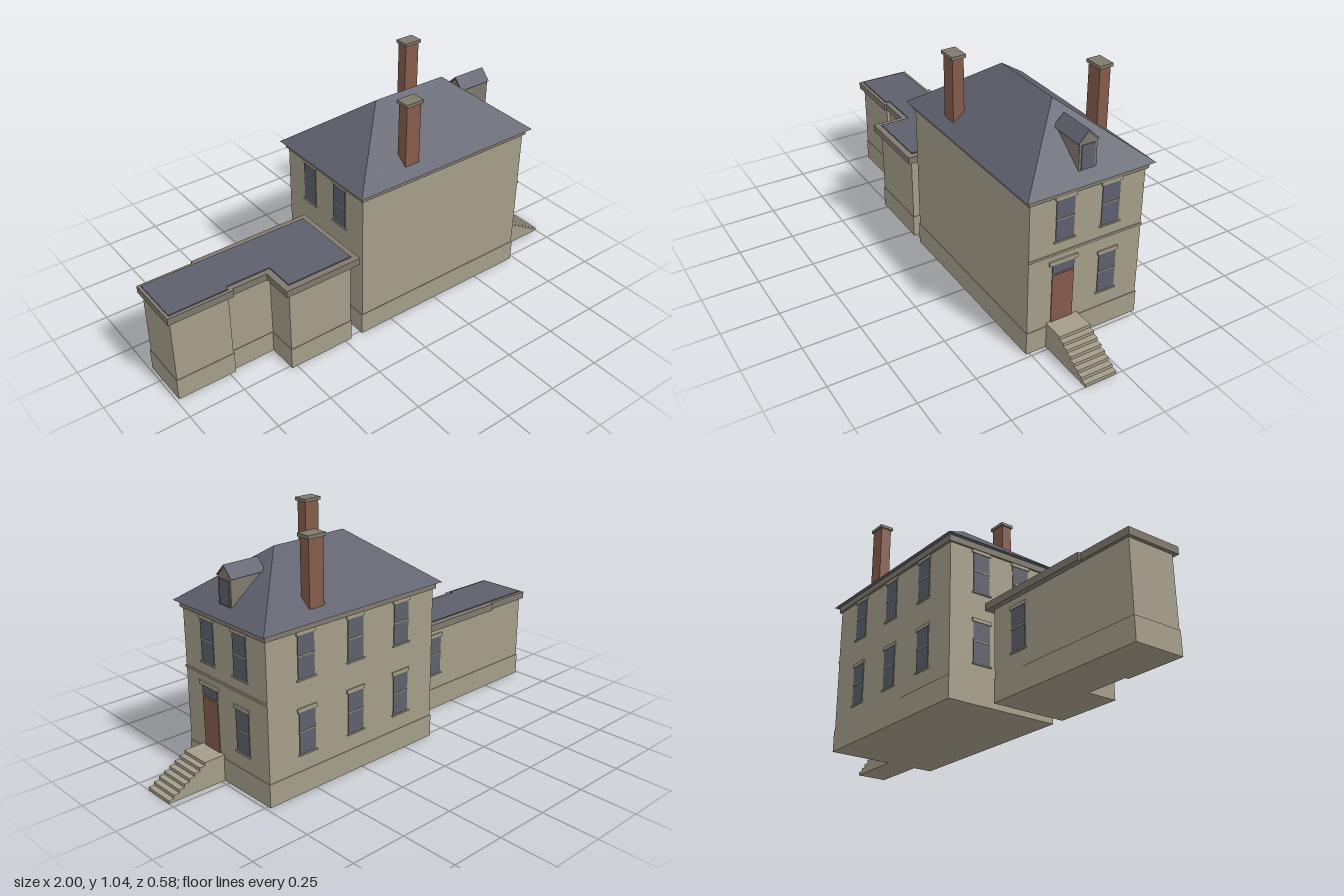
import * as THREE from 'three';

const mat = (name, color) => Object.assign(new THREE.MeshStandardMaterial({ color }), { name });

export function createModel() {
  const model = new THREE.Group();
  model.name = 'house';
  const stone = mat('stone', 0xa49d89);
  const trim = mat('trim', 0x7f786d);
  const slate = mat('slate', 0x5d606c);
  const brick = mat('brick', 0x855b4c);

  const add = (parent, name, geometry, material) => {
    const mesh = new THREE.Mesh(geometry, material);
    mesh.name = name;
    parent.add(mesh);
    return mesh;
  };
  // Box given by its limits on each axis
  const box = (parent, name, material, x0, x1, y0, y1, z0, z1) => {
    const mesh = add(parent, name, new THREE.BoxGeometry(x1 - x0, y1 - y0, z1 - z0), material);
    mesh.position.set((x0 + x1) / 2, (y0 + y1) / 2, (z0 + z1) / 2);
    return mesh;
  };
  const extrude = (points, depth) => new THREE.ExtrudeGeometry(
    new THREE.Shape(points.map(([x, y]) => new THREE.Vector2(x, y))), { depth, bevelEnabled: false });
  // Upright slab from a plan outline of [x, z] points
  const slab = (name, material, plan, y0, y1) => {
    const g = extrude(plan.map(([x, z]) => [x, -z]), y1 - y0).rotateX(-Math.PI / 2);
    add(model, name, g, material).position.y = y0;
  };
  // Group whose local +z points out of a wall
  const facade = (name, x, z, angle) => {
    const group = new THREE.Group();
    group.name = name;
    group.position.set(x, 0, z);
    group.rotation.y = angle;
    model.add(group);
    return group;
  };
  // Sash window with rail, lintel and sill
  const sash = (parent, u, y) => {
    const group = new THREE.Group();
    group.name = 'window';
    group.position.set(u, y, 0);
    parent.add(group);
    box(group, 'glass', slate, -0.041, 0.041, 0, 0.18, -0.002, 0.003);
    box(group, 'meetingRail', stone, -0.041, 0.041, 0.093, 0.098, -0.002, 0.005);
    box(group, 'lintel', stone, -0.048, 0.048, 0.18, 0.196, -0.002, 0.006);
    box(group, 'sill', stone, -0.048, 0.048, -0.006, 0, -0.002, 0.008);
  };
  const upper = 0.49, lower = 0.175;

  // Main block
  box(model, 'mainWalls', stone, -0.158, 0.73, 0.095, 0.69, -0.262, 0.262);
  box(model, 'mainPlinth', stone, -0.161, 0.733, 0, 0.1, -0.265, 0.265);
  box(model, 'cornice', trim, -0.167, 0.739, 0.685, 0.713, -0.272, 0.272);

  // Hipped roof with soffit
  const a = [-0.185, 0.713, 0.29], b = [0.757, 0.713, 0.29], c = [0.757, 0.713, -0.29], d = [-0.185, 0.713, -0.29];
  const r0 = [0.11, 0.94, 0], r1 = [0.47, 0.94, 0];
  const faces = [a, b, r1, a, r1, r0, c, d, r0, c, r0, r1, b, c, r1, d, a, r0, a, d, c, a, c, b];
  const roof = new THREE.BufferGeometry();
  roof.setAttribute('position', new THREE.Float32BufferAttribute(faces.flat(), 3));
  roof.computeVertexNormals();
  add(model, 'hippedRoof', roof, slate);

  // Chimneys
  for (const [x, z] of [[0.108, 0.22], [0.465, -0.22]]) {
    box(model, 'chimney', brick, x - 0.036, x + 0.036, 0.72, 1.022, z - 0.025, z + 0.025);
    box(model, 'chimneyCap', trim, x - 0.043, x + 0.043, 1.022, 1.036, z - 0.032, z + 0.032);
  }

  // Dormer: gabled body, folded roof and window
  const body = extrude([[-0.04, 0.75], [0.04, 0.75], [0.04, 0.868], [0, 0.905], [-0.04, 0.868]], 0.155);
  add(model, 'dormerBody', body.rotateY(Math.PI / 2), trim).position.x = 0.555;
  const fold = extrude([[-0.048, 0.865], [-0.04, 0.865], [0, 0.904], [0.04, 0.865], [0.048, 0.865], [0, 0.914]], 0.162);
  add(model, 'dormerRoof', fold.rotateY(Math.PI / 2), slate).position.x = 0.55;
  box(model, 'dormerWindow', slate, 0.708, 0.713, 0.754, 0.856, -0.03, 0.03);

  // Entrance side
  const entrance = facade('entranceSide', 0.73, 0, Math.PI / 2);
  for (const u of [-0.104, 0.104]) sash(entrance, u, upper);
  sash(entrance, 0.104, lower);
  box(entrance, 'door', brick, -0.154, -0.055, 0.113, 0.335, -0.002, 0.004);
  box(entrance, 'transom', slate, -0.154, -0.055, 0.342, 0.385, -0.002, 0.004);
  box(entrance, 'doorLintel', stone, -0.17, -0.04, 0.385, 0.403, -0.002, 0.007);
  box(entrance, 'stringCourse', stone, -0.264, 0.264, 0.428, 0.437, -0.002, 0.005);

  // Back and far side windows
  const back = facade('backSide', 0, -0.262, Math.PI);
  for (const x of [0.03, 0.285, 0.54]) for (const y of [upper, lower]) sash(back, -x, y);
  const far = facade('farSide', -0.158, 0, -Math.PI / 2);
  for (const z of [-0.104, 0.104]) for (const y of [upper, lower]) sash(far, z, y);

  // Entrance steps
  const profile = [[0.73, 0], [0.73, 0.115], [0.825, 0.115]];
  for (let i = 1; i < 8; i++) {
    const y = 0.115 * (8 - i) / 8;
    profile.push([0.8 + i * 0.025, y], [0.825 + i * 0.025, y]);
  }
  profile.push([1, 0]);
  add(model, 'entranceSteps', extrude(profile, 0.144), stone).position.z = 0.03;

  // Low wing: p widens the outline for the plinth
  const wing = (p) => [
    [-0.985 - p, -0.085 - p], [-0.22 + p, -0.085 - p], [-0.22 + p, 0.262 + p], [-0.523 - p, 0.262 + p],
    [-0.523 - p, 0.122 + p], [-0.725 + p, 0.122 + p], [-0.725 + p, 0.137 + p], [-0.985 - p, 0.137 + p]];
  slab('wingWalls', stone, wing(0), 0.095, 0.405);
  slab('wingPlinth', stone, wing(0.003), 0, 0.1);
  slab('wingCornice', trim, [
    [-1, -0.098], [-0.75, -0.098], [-0.75, -0.11], [-0.19, -0.11], [-0.19, 0.288], [-0.55, 0.288],
    [-0.55, 0.145], [-0.71, 0.145], [-0.71, 0.155], [-1, 0.155]], 0.4, 0.432);
  slab('wingRoof', slate, [
    [-0.987, -0.083], [-0.217, -0.083], [-0.217, 0.26], [-0.522, 0.26],
    [-0.522, 0.122], [-0.725, 0.122], [-0.725, 0.14], [-0.987, 0.14]], 0.43, 0.437);

  // Wing windows
  sash(facade('wingBack', 0, -0.085, Math.PI), 0.372, lower);
  sash(facade('wingEnd', -0.22, 0, Math.PI / 2), -0.09, lower);

  return model;
}
